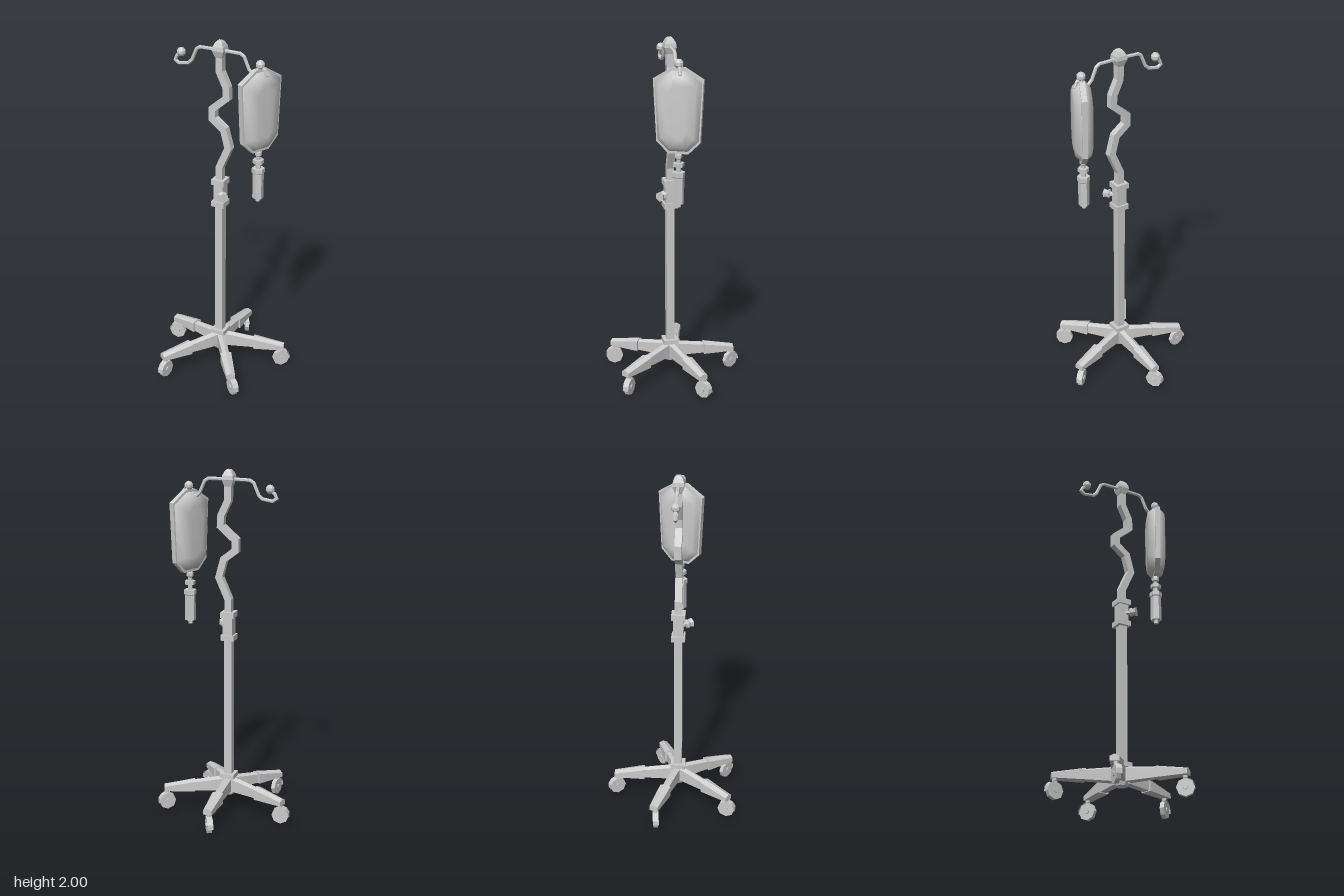
import * as THREE from 'three';

const V = (x, y, z) => new THREE.Vector3(x, y, z);
const flat = new THREE.MeshStandardMaterial({ color: 0xcccccc, flatShading: true });
const smooth = new THREE.MeshStandardMaterial({ color: 0xcccccc });
const thin = new THREE.MeshStandardMaterial({ color: 0xcccccc, flatShading: true, side: THREE.DoubleSide });

// Skin a series of equal rings (counter-clockwise about the travel direction) and cap both ends
function loft(rings) {
  const n = rings[0].length, pos = rings.flat().flatMap(p => [p.x, p.y, p.z]), idx = [];
  for (let r = 0; r < rings.length - 1; r++) {
    for (let i = 0; i < n; i++) {
      const a = r * n + i, b = r * n + (i + 1) % n;
      idx.push(a, b, b + n, a, b + n, a + n);
    }
  }
  const last = (rings.length - 1) * n;
  for (let i = 1; i < n - 1; i++) idx.push(0, i + 1, i, last, last + i, last + i + 1);
  const g = new THREE.BufferGeometry();
  g.setAttribute('position', new THREE.Float32BufferAttribute(pos, 3));
  g.setIndex(idx);
  g.computeVertexNormals();
  return g;
}

// Mitred bar following a path in the xy plane
function sweep(path, radius, sides, turn) {
  const pts = path.map(([x, y]) => V(x, y, 0));
  return loft(pts.map((p, i) => {
    const d1 = p.clone().sub(pts[Math.max(i - 1, 0)]).normalize();
    const d2 = pts[Math.min(i + 1, pts.length - 1)].clone().sub(p).normalize();
    const t = d1.clone().add(d2).normalize();
    const miter = 1 / Math.max(0.6, t.dot(i ? d1 : d2));
    return Array.from({ length: sides }, (_, k) => {
      const a = turn + k / sides * Math.PI * 2, c = Math.cos(a) * radius * miter;
      return V(p.x - t.y * c, p.y + t.x * c, Math.sin(a) * radius);
    });
  }));
}

function add(parent, name, geometry, x = 0, y = 0, z = 0, material = flat) {
  const mesh = new THREE.Mesh(geometry, material);
  mesh.name = name;
  mesh.position.set(x, y, z);
  parent.add(mesh);
  return mesh;
}

function group(parent, name, x, y, z) {
  const g = new THREE.Group();
  g.name = name;
  g.position.set(x, y, z);
  parent.add(g);
  return g;
}

// Square block given by its bottom and top heights
const block = (parent, name, w, y0, y1) =>
  add(parent, name, new THREE.BoxGeometry(w, y1 - y0, w), 0, (y0 + y1) / 2, 0);

// Stepped round part from [radius, y] pairs
const lathe = (profile, sides) =>
  new THREE.LatheGeometry(profile.map(([r, y]) => new THREE.Vector2(r, y)), sides);

// Ridged leg section: [distance, half width, bottom, top]
const legGeometry = sections => loft(sections.map(([d, w, b, t]) =>
  [V(w, b, d), V(w, t - 0.012, d), V(0, t, d), V(-w, t - 0.012, d), V(-w, b, d)]));

function addBase(stand) {
  block(stand, 'hubCollar', 0.085, 0.2, 0.226);
  block(stand, 'hub', 0.065, 0.11, 0.2);
  add(stand, 'hubCap', new THREE.CylinderGeometry(0.042, 0.035, 0.02, 8), 0, 0.107, 0);
  const inner = legGeometry([[0, 0.023, 0.118, 0.21], [0.22, 0.02, 0.118, 0.178]]);
  const sleeve = legGeometry([[0.2, 0.032, 0.114, 0.187], [0.38, 0.025, 0.114, 0.152]]);
  for (let i = 0; i < 5; i++) {
    const leg = group(stand, 'leg', 0, 0, 0);
    leg.rotation.y = Math.PI + i * Math.PI * 0.4;
    add(leg, 'legBar', inner);
    add(leg, 'legSleeve', sleeve);
  }
}

function addCasters(root) {
  // Wheel centre x, z and rolling direction x, z
  const casters = [
    [0, -0.334, -0.5, -0.87], [-0.344, -0.075, -1, 0.12], [0.346, -0.087, 0.77, -0.63],
    [-0.204, 0.328, -0.2, 1], [0.222, 0.314, 0.8, 0.6]];
  const across = (r, w) => new THREE.CylinderGeometry(r, r, w, 8).rotateZ(Math.PI / 2);
  const wheel = across(0.05, 0.024), axle = across(0.014, 0.036);
  const hood = new THREE.CylinderGeometry(0.053, 0.053, 0.034, 4, 1, true, -0.2, 2.1).rotateZ(Math.PI / 2);
  for (const [x, z, dx, dz] of casters) {
    const caster = group(root, 'caster', x, 0, z);
    caster.rotation.y = Math.atan2(dx, dz);
    add(caster, 'wheel', wheel, 0, 0.05, 0);
    add(caster, 'axle', axle, 0, 0.05, 0);
    add(caster, 'wheelHood', hood, 0, 0.05, 0, thin);
    add(caster, 'casterStem', new THREE.CylinderGeometry(0.013, 0.013, 0.03, 8), 0, 0.112, 0);
  }
}

function addPole(stand) {
  block(stand, 'lowerPole', 0.046, 0.2, 1.05);
  block(stand, 'lowerCollar', 0.078, 1.035, 1.066);
  block(stand, 'clampBody', 0.058, 1.066, 1.168);
  block(stand, 'upperCollar', 0.078, 1.168, 1.2);

  // Hourglass clamp knob on the front left corner
  const knob = add(stand, 'clampKnob',
    lathe([[0, 0], [0.014, 0], [0.014, 0.032], [0.029, 0.04], [0.02, 0.055], [0.029, 0.072], [0, 0.072]], 6),
    0.01, 1.117, 0.014);
  knob.rotation.set(Math.PI / 2, 0, -Math.PI / 4.5);

  // Wavy upper pole, square in section
  const wave = [[0, 1.19], [0, 1.27], [0.055, 1.395], [0.027, 1.5], [-0.042, 1.553], [-0.042, 1.61],
    [0.045, 1.685], [0.042, 1.745], [0.002, 1.83], [0.002, 1.91]];
  add(stand, 'wavyPole', sweep(wave, 0.028, 4, Math.PI / 4));

  const finial = lathe([[0, 1.892], [0.018, 1.892], [0.03, 1.91], [0.047, 1.945], [0.043, 1.967],
    [0.028, 1.99], [0.014, 2], [0, 2]], 4).rotateY(Math.PI / 4);
  add(stand, 'finial', finial);
}

function addArms(stand) {
  const hook = [[0, 1.946], [0.12, 1.944], [0.142, 1.93], [0.17, 1.865], [0.19, 1.845], [0.25, 1.835],
    [0.272, 1.85], [0.262, 1.875], [0.237, 1.892]];
  for (const side of [1, -1]) {
    const arm = group(stand, side > 0 ? 'leftArm' : 'rightArm', 0, 0, 0);
    arm.rotation.y = side > 0 ? 0 : Math.PI;
    add(arm, 'armHook', sweep(hook, 0.01, 6, 0));
    add(arm, 'hookBall', new THREE.SphereGeometry(0.026, 8, 5), 0.235, 1.9, 0);
  }
}

function addBag(stand) {
  const bag = group(stand, 'bag', 0.234, 1.645, 0);
  bag.rotation.y = 1.134;
  const outline = [[0.055, -0.23], [0.12, -0.166], [0.137, 0.172], [0.035, 0.235],
    [-0.035, 0.235], [-0.137, 0.172], [-0.12, -0.166], [-0.055, -0.23]];

  // Welded rim
  const shape = new THREE.Shape(outline.map(([x, y]) => new THREE.Vector2(x, y)));
  add(bag, 'bagRim', new THREE.ExtrudeGeometry(shape, { depth: 0.03, bevelEnabled: false }), 0, 0, -0.015);

  // Filled body bulging from both sides of the rim
  const layers = [[0.4, -0.054], [0.74, -0.046], [0.93, -0.015], [0.93, 0.015], [0.74, 0.046], [0.4, 0.054]];
  const body = loft(layers.map(([s, z]) => outline.map(([x, y]) => V(x * s, y * (s * 0.6 + 0.38), z))));
  add(bag, 'bagBody', body, 0, 0, 0, smooth);
  add(bag, 'hangingTab', new THREE.TorusGeometry(0.022, 0.007, 4, 8), 0, 0.225, 0);

  // Outlet port, drip chamber and tip
  const drip = lathe([[0, 1.112], [0.013, 1.112], [0.013, 1.132], [0.031, 1.132], [0.031, 1.28], [0.036, 1.284],
    [0.036, 1.31], [0.014, 1.31], [0.014, 1.34], [0.031, 1.34], [0.031, 1.362], [0.012, 1.362],
    [0.012, 1.382], [0.02, 1.388], [0.02, 1.405], [0.013, 1.42], [0, 1.42]], 6);
  add(stand, 'dripChamber', drip, 0.232, 0, 0);
}

export function createModel() {
  const root = new THREE.Group();
  root.name = 'infusionStand';
  const stand = group(root, 'stand', 0.003, 0, 0.032);
  addBase(stand);
  addCasters(root);
  addPole(stand);
  addArms(stand);
  addBag(stand);
  return root;
}
